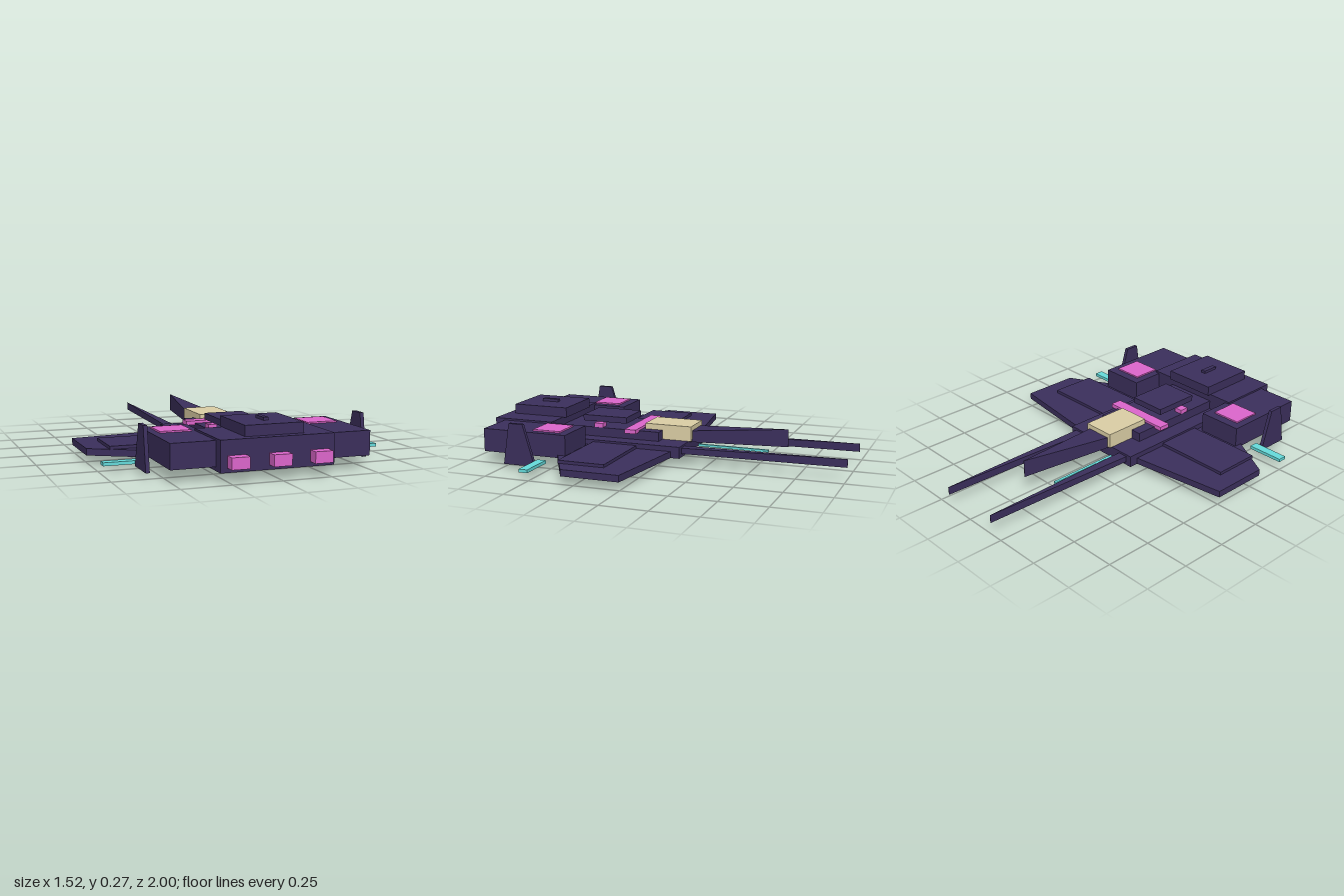
import * as THREE from 'three';

const mat = (color) => new THREE.MeshStandardMaterial({ color, flatShading: true });

export function createModel() {
  const ship = new THREE.Group();
  ship.name = 'spaceship';
  const hull = mat(0x3b2f5c), glow = mat(0xdd66cc), cyan = mat(0x66dcdc), sand = mat(0xdccfa6);

  const add = (name, geometry, material) => {
    const mesh = new THREE.Mesh(geometry, material);
    mesh.name = name;
    ship.add(mesh);
    return mesh;
  };

  // Box given by its extents along each axis
  const box = (name, material, [x0, x1], [y0, y1], [z0, z1]) => {
    const g = new THREE.BoxGeometry(x1 - x0, y1 - y0, z1 - z0);
    g.translate((x0 + x1) / 2, (y0 + y1) / 2, (z0 + z1) / 2);
    return add(name, g, material);
  };

  // The same box on both sides
  const pair = (name, material, [x0, x1], y, z) => {
    box(name + 'Left', material, [x0, x1], y, z);
    box(name + 'Right', material, [-x1, -x0], y, z);
  };

  // Blade narrowing to a vertical edge at its tip, with a sloping top
  const blade = (name, x, halfWidth, bottom, topBase, topTip, zBase, zTip) => {
    const g = new THREE.BoxGeometry(1, 1, 1);
    const p = g.attributes.position;
    for (let i = 0; i < p.count; i++) {
      const tip = p.getZ(i) < 0;
      const w = tip ? 0.001 : halfWidth;
      const top = tip ? topTip : topBase;
      p.setXYZ(i, x + Math.sign(p.getX(i)) * w, p.getY(i) > 0 ? top : bottom, tip ? zTip : zBase);
    }
    g.computeVertexNormals();
    add(name, g, hull);
  };

  const outline = (points) => new THREE.Shape(points.map(([a, b]) => new THREE.Vector2(a, b)));

  // Fuselage, stacked from low to high
  box('fuselage', hull, [-0.235, 0.235], [0.045, 0.107], [-0.12, 0.6]);
  box('spine', hull, [-0.148, 0.148], [0.1, 0.157], [0.03, 0.6]);
  box('dorsalPlate', hull, [-0.105, 0.105], [0.18, 0.213], [0.235, 0.495]);
  box('canopy', sand, [-0.09, 0.09], [0.107, 0.188], [-0.135, 0.13]);
  box('lightBar', glow, [-0.195, 0.195], [0.148, 0.17], [0.145, 0.21]);
  pair('spineLight', glow, [0.1, 0.147], [0.155, 0.18], [0.36, 0.41]);
  box('bellyPod', hull, [-0.073, 0.073], [0, 0.046], [0.08, 0.36]);
  box('keelRail', hull, [-0.014, 0.014], [0.023, 0.046], [0.57, 0.85]);

  // Engine section
  box('engineBlock', hull, [-0.29, 0.29], [0.045, 0.199], [0.6, 0.945]);
  box('engineCover', hull, [-0.15, 0.15], [0.198, 0.252], [0.58, 0.9]);
  box('coverRidge', hull, [-0.013, 0.013], [0.25, 0.267], [0.7, 0.795]);
  for (const x of [-0.21, 0, 0.21])
    box('thruster', glow, [x - 0.046, x + 0.046], [0.068, 0.125], [0.94, 1]);
  pair('nacelle', hull, [0.265, 0.512], [0.065, 0.189], [0.41, 0.89]);
  pair('nacelleLight', glow, [0.31, 0.472], [0.185, 0.197], [0.46, 0.615]);

  // Wings cut from one plan outline, mirrored
  const half = [[0.2, -0.075], [0.76, 0], [0.76, 0.315], [0.51, 0.455], [0.235, 0.6], [0.2, 0.6]];
  for (const side of [1, -1]) {
    const suffix = side > 0 ? 'Left' : 'Right';
    const wing = new THREE.ExtrudeGeometry(outline(half.map(([x, z]) => [x * side, z])),
      { depth: 0.035, bevelEnabled: false });
    wing.rotateX(Math.PI / 2).translate(0, 0.08, 0);
    add('wing' + suffix, wing, hull);

    // Upright tail fin
    const fin = new THREE.ExtrudeGeometry(
      outline([[-0.735, 0.025], [-0.555, 0.025], [-0.62, 0.245], [-0.7, 0.245]]),
      { depth: 0.02, bevelEnabled: false });
    fin.rotateY(Math.PI / 2).translate(side * 0.57 - 0.01, 0, 0);
    add('tailFin' + suffix, fin, hull);

    blade('prong' + suffix, side * 0.174, 0.029, 0.064, 0.095, 0.108, -0.1, -1);
  }
  pair('wingPanel', hull, [0.23, 0.656], [0.078, 0.096], [0.125, 0.38]);
  pair('wingLight', cyan, [0.535, 0.738], [0.036, 0.053], [0.512, 0.56]);

  // Nose blade and the gun barrels beneath it
  blade('noseBlade', 0, 0.075, 0.1, 0.16, 0.196, -0.1, -0.65);
  pair('gunBarrel', cyan, [0.077, 0.093], [0.041, 0.053], [-0.52, 0.2]);

  return ship;
}
